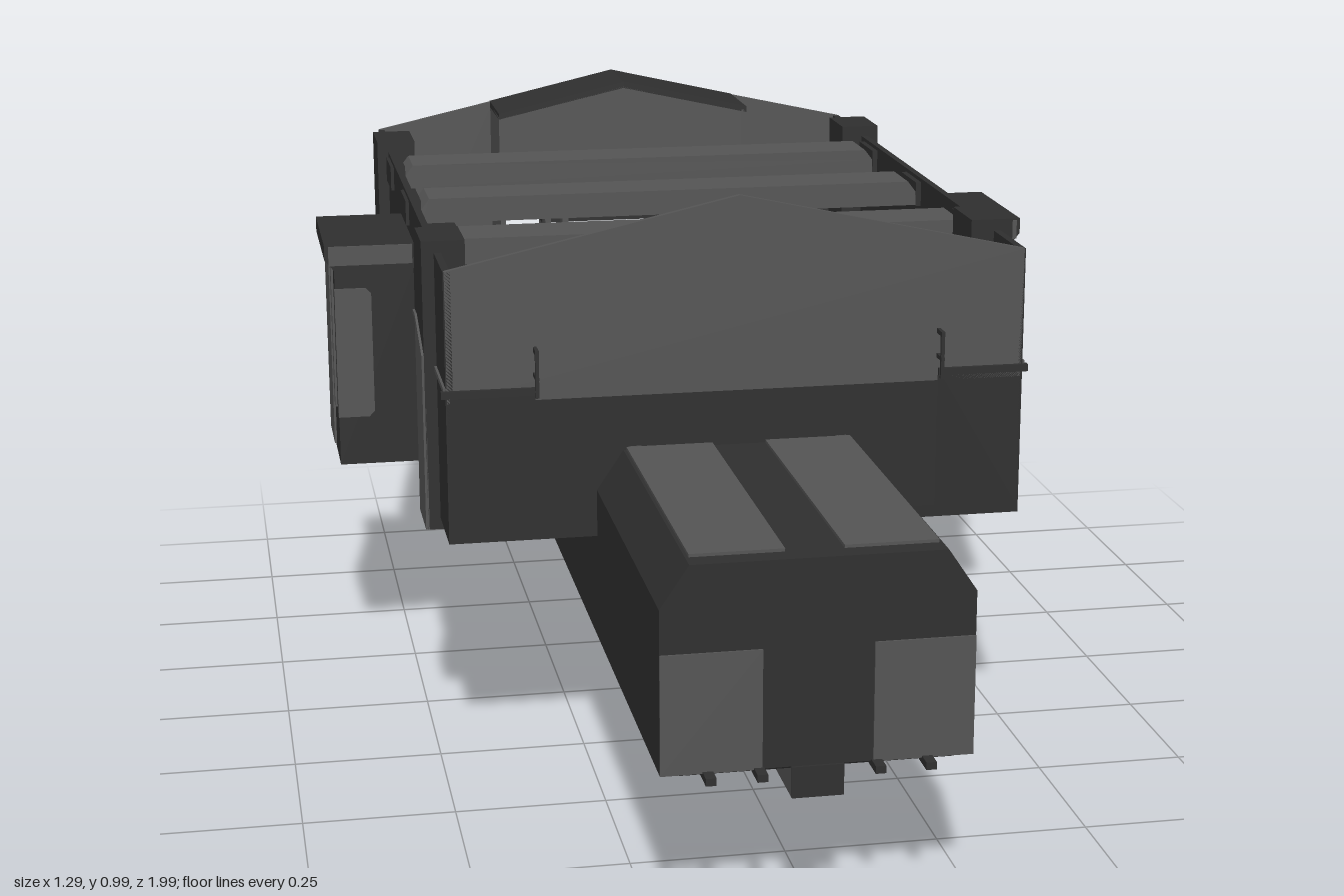
import * as THREE from 'three';

export function createModel() {
  const model = new THREE.Group();
  const mat = (name, color, side = THREE.FrontSide) => {
    const m = new THREE.MeshStandardMaterial({ color, side });
    m.name = name;
    return m;
  };
  const light = mat('light grey', 0x555555, THREE.DoubleSide);
  const dark = mat('dark grey', 0x2f2f2f, THREE.DoubleSide);
  const black = mat('near black', 0x1c1c1c);

  const add = (name, geo, m) => {
    const mesh = new THREE.Mesh(geo, m);
    mesh.name = name;
    model.add(mesh);
    return mesh;
  };
  // Box given by its limits
  const box = (name, m, x0, x1, y0, y1, z0, z1) => {
    const g = new THREE.BoxGeometry(Math.abs(x1 - x0), y1 - y0, z1 - z0);
    g.translate((x0 + x1) / 2, (y0 + y1) / 2, (z0 + z1) / 2);
    return add(name, g, m);
  };
  // The same box on both sides
  const pair = (name, m, x0, x1, ...r) => {
    box(name + 'Left', m, x0, x1, ...r);
    box(name + 'Right', m, -x1, -x0, ...r);
  };
  const extrude = (pts, depth) => new THREE.ExtrudeGeometry(
    new THREE.Shape(pts.map(p => new THREE.Vector2(p[0], p[1]))), { depth, bevelEnabled: false });
  // Outline in x, y drawn out along z
  const alongZ = (name, m, pts, z0, z1) => add(name, extrude(pts, z1 - z0).translate(0, 0, z0), m);
  // Outline in z, y drawn out along x
  const alongX = (name, m, pts, x0, x1) =>
    add(name, extrude(pts, x1 - x0).rotateY(-Math.PI / 2).translate(x1, 0, 0), m);
  // Outline in x, z drawn out along y
  const alongY = (name, m, pts, y0, y1) =>
    add(name, extrude(pts, y1 - y0).rotateX(Math.PI / 2).translate(0, y1, 0), m);
  const flip = pts => pts.map(([x, y]) => [-x, y]);

  // Long hull with a nose in front and a ramped underside at the back
  alongX('hull', dark, [[0.97, 0.24], [0.97, 0.5], [-0.5, 0.5], [-0.5, 0.44],
    [-0.98, 0.44], [-0.98, 0.05], [-0.36, 0.24]], -0.24, 0.24);
  alongZ('hullTop', dark, [[-0.24, 0.5], [0.24, 0.5], [0.195, 0.567], [-0.195, 0.567]], -0.5, 0.97);
  pair('noseTopPanel', light, 0.045, 0.19, 0.565, 0.572, 0.37, 0.935);
  pair('noseFrontPanel', light, 0.085, 0.24, 0.24, 0.43, 0.967, 0.973);

  // Underside strips that follow the ramp
  const strip = (name, m, x0, x1, top, bottom, zFront = 0.97) => alongX(name, m, [
    [zFront, 0.24 + top], [-0.36, 0.24 + top], [-0.985, 0.05 + top],
    [-0.985, 0.05 + bottom], [-0.36, 0.24 + bottom], [zFront, 0.24 + bottom]], x0, x1);
  strip('keel', light, -0.04, 0.04, 0, -0.05);
  box('keelCap', dark, -0.04, 0.04, 0.19, 0.24, 0.968, 0.974);
  for (const s of [-1, 1]) {
    strip('undersidePlate', black, s * 0.125 - 0.085, s * 0.125 + 0.085, 0, -0.004, 0.965);
    for (const x of [0.09, 0.168])
      strip('guideRail', dark, s * x - 0.008, s * x + 0.008, 0.003, -0.009, 1.0);
  }

  // Hall: floor, side walls, raised side decks
  pair('hallFloor', dark, 0.2, 0.485, 0.42, 0.44, -0.98, 0.37);
  pair('sideWall', dark, 0.475, 0.487, 0.42, 0.88, -0.98, 0.37);
  pair('wallLine', light, 0.485, 0.491, 0.678, 0.687, -0.98, 0.37);
  const deck = [[0.48, 0.37], [0.34, 0.37], [0.34, -0.05], [0.29, -0.17],
    [0.29, -0.42], [0.335, -0.5], [0.335, -0.98], [0.48, -0.98]];
  alongY('deckLeft', dark, deck, 0.44, 0.68);
  alongY('deckRight', dark, flip(deck), 0.44, 0.68);
  // Handrails over the inner deck edge
  pair('handrail', dark, 0.337, 0.343, 0.742, 0.75, -0.05, 0.4);
  pair('handrailLower', dark, 0.337, 0.343, 0.7, 0.707, -0.05, 0.4);
  for (const z of [0.393, 0.25, 0.1, -0.05])
    pair('railPost', dark, 0.337, 0.343, 0.67, 0.75, z, z + 0.006);
  pair('deckTab', dark, 0.34, 0.495, 0.67, 0.682, 0.365, 0.378);

  // Sloped inner walls, light trim and end bar around the channel
  const slope = [[0.25, 0.44], [0.335, 0.44], [0.335, 0.68], [0.25, 0.52]];
  alongZ('innerSlopeLeft', light, slope, -0.975, -0.52);
  alongZ('innerSlopeRight', light, flip(slope), -0.975, -0.52);
  pair('channelTrim', light, 0.222, 0.25, 0.44, 0.575, -0.5, 0.36);
  pair('channelStripe', light, 0.165, 0.183, 0.565, 0.573, 0.2, 0.37);
  box('channelEndBar', light, -0.25, 0.25, 0.55, 0.6, -0.55, -0.5);

  // Gabled front wall
  box('frontWallLower', dark, -0.485, 0.485, 0.42, 0.66, 0.36, 0.37);
  alongZ('frontGable', light, [[-0.485, 0.66], [0.485, 0.66], [0.485, 0.88],
    [0, 0.988], [-0.485, 0.88]], 0.36, 0.37);

  // Back wall panels beside the open gateway
  const panel = [[0.25, 0.42], [0.485, 0.42], [0.485, 0.88], [0.25, 0.932]];
  alongZ('backPanelLeft', light, panel, -0.985, -0.975);
  alongZ('backPanelRight', light, flip(panel), -0.985, -0.975);
  // Hood over the gateway
  alongZ('hoodRoof', dark, [[-0.255, 0.92], [0, 0.977], [0.255, 0.92], [0.255, 0.932],
    [0, 0.99], [-0.255, 0.932]], -0.985, -0.82);
  pair('hoodCheek', light, 0.245, 0.255, 0.44, 0.925, -0.98, -0.82);
  alongZ('hoodInnerWall', light, [[-0.25, 0.8], [0.25, 0.8], [0.25, 0.925],
    [0, 0.98], [-0.25, 0.925]], -0.826, -0.82);
  // Machine and upright boards inside the gateway
  box('machineBody', dark, -0.08, 0.08, 0.44, 0.66, -0.82, -0.72);
  for (let i = 0; i < 4; i++)
    box('machineSlat', black, -0.09, 0.09, 0.5 + i * 0.045, 0.52 + i * 0.045, -0.825, -0.715);
  box('machineTop', light, -0.09, 0.09, 0.66, 0.68, -0.8, -0.74);
  pair('gateBoardInner', light, 0.13, 0.142, 0.44, 0.8, -0.82, -0.72);
  pair('gateBoardOuter', light, 0.165, 0.177, 0.44, 0.8, -0.82, -0.72);
  box('gateCrossbar', dark, -0.18, 0.18, 0.72, 0.745, -0.79, -0.75);

  // Roof beams with chamfered ends
  for (const z of [0.045, -0.31, -0.645]) {
    alongZ('roofBeam', light, [[-0.465, 0.83], [0.465, 0.83], [0.465, 0.855],
      [0.45, 0.875], [-0.45, 0.875], [-0.465, 0.855]], z - 0.053, z + 0.053);
    pair('beamEnd', dark, 0.465, 0.493, 0.828, 0.873, z - 0.054, z + 0.054);
  }

  // Corner pillars, the front ones with a light sloped facing
  for (const z of [0.165, -0.78])
    pair('pillar', dark, 0.435, 0.508, 0.4, 0.9, z - 0.058, z + 0.058);
  const facing = [[0.223, 0.4], [0.223, 0.705], [0.107, 0.75], [0.107, 0.4]];
  alongX('pillarFacingLeft', light, facing, 0.506, 0.512);
  alongX('pillarFacingRight', light, facing, -0.512, -0.506);

  // Side bays with a flared cap and light panels
  pair('bayBody', dark, 0.48, 0.63, 0.4, 0.78, -0.43, -0.19);
  const cap = [[0.48, 0.765], [0.63, 0.765], [0.647, 0.785], [0.647, 0.813], [0.48, 0.813]];
  alongZ('bayCapLeft', dark, cap, -0.44, -0.18);
  alongZ('bayCapRight', dark, flip(cap), -0.44, -0.18);
  const bayPanel = [[0.565, 0.5], [0.575, 0.49], [0.631, 0.49], [0.631, 0.73], [0.575, 0.73], [0.565, 0.72]];
  for (const z of [-0.19, -0.43]) {
    alongZ('bayEndPanelLeft', light, bayPanel, z - 0.003, z + 0.003);
    alongZ('bayEndPanelRight', light, flip(bayPanel), z - 0.003, z + 0.003);
    pair('bayCapTrim', light, 0.49, 0.64, 0.775, 0.81, z < -0.3 ? -0.443 : -0.181, z < -0.3 ? -0.439 : -0.177);
  }
  pair('bayOuterPanel', light, 0.628, 0.634, 0.41, 0.765, -0.425, -0.3);
  pair('baySlimPanel', light, 0.628, 0.634, 0.5, 0.765, -0.255, -0.23);

  // Side doors and small brackets below the hall
  pair('sideDoor', black, 0.485, 0.49, 0.43, 0.57, -0.12, 0.05);
  pair('doorSill', light, 0.487, 0.492, 0.425, 0.437, -0.12, 0.04);
  const bracket = [[0.24, 0.393], [0.265, 0.393], [0.29, 0.42], [0.24, 0.42]];
  alongZ('bracketLeft', dark, bracket, -0.68, -0.48);
  alongZ('bracketRight', dark, flip(bracket), -0.68, -0.48);
  pair('underPad', dark, 0.385, 0.48, 0.4, 0.42, -0.43, -0.19);

  return model;
}
